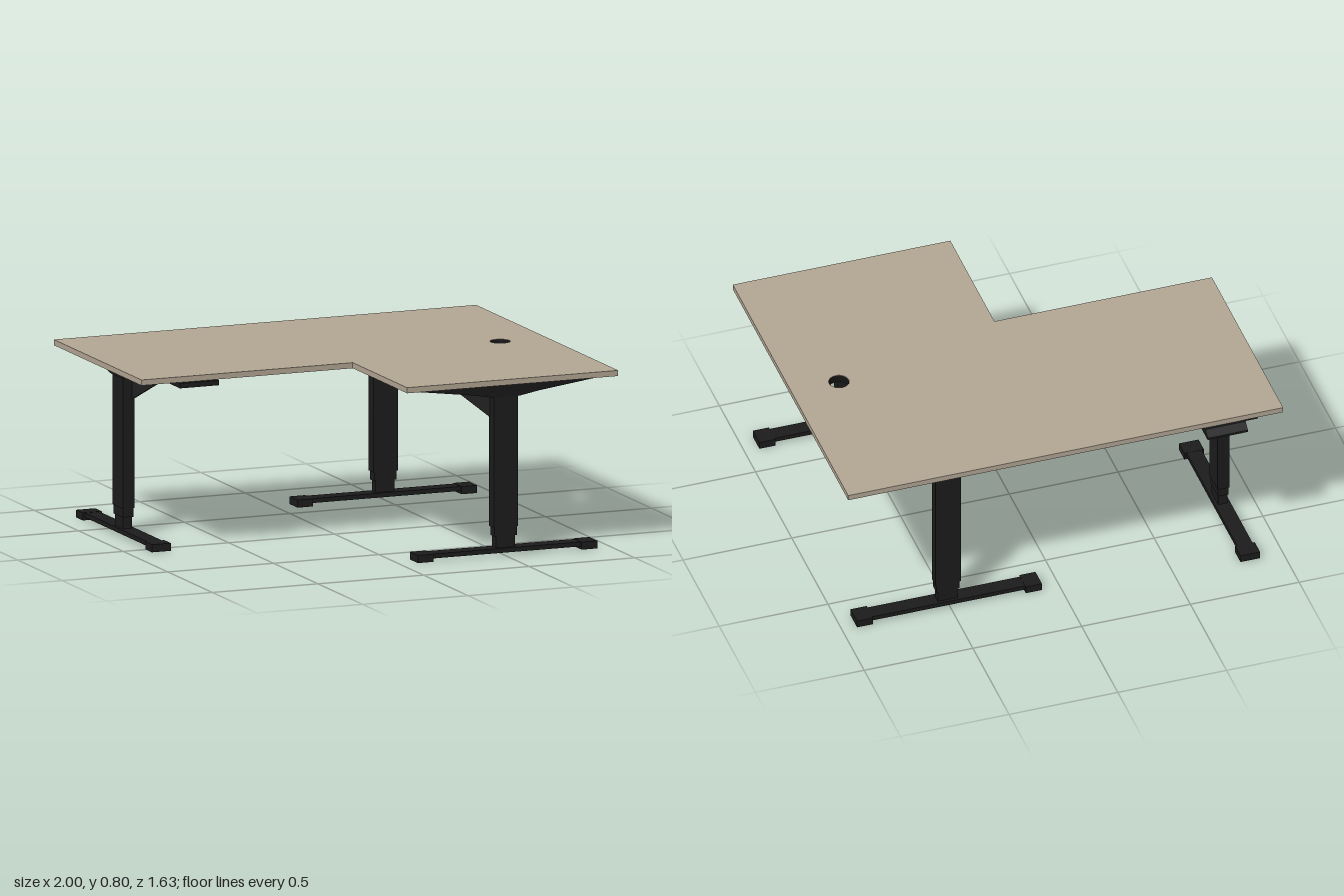
import * as THREE from 'three';

const wood = new THREE.MeshStandardMaterial({ color: 0xb3a694 });
wood.name = 'taupe wood';
const black = new THREE.MeshStandardMaterial({ color: 0x1c1c1d });
black.name = 'black metal';
const liner = new THREE.MeshStandardMaterial({ color: 0x151516, side: THREE.DoubleSide });
liner.name = 'black plastic';

function add(parent, name, geometry, material) {
  const mesh = new THREE.Mesh(geometry, material);
  mesh.name = name;
  parent.add(mesh);
  return mesh;
}

// Box given by its lower and upper corners
function box(parent, name, a, b) {
  const g = new THREE.BoxGeometry(b[0] - a[0], b[1] - a[1], b[2] - a[2]);
  g.translate((a[0] + b[0]) / 2, (a[1] + b[1]) / 2, (a[2] + b[2]) / 2);
  return add(parent, name, g, black);
}

// Side profile in x and y, extruded about z = 0
function profile(points, width) {
  const shape = new THREE.Shape(points.map(p => new THREE.Vector2(p[0], p[1])));
  const g = new THREE.ExtrudeGeometry(shape, { depth: width, bevelEnabled: false });
  return g.translate(0, 0, -width / 2);
}

// Telescopic leg: foot and rail run along local x, the arm turns by armAngle
function makeLeg(name, x, z, turn, armAngle, armLength) {
  const leg = new THREE.Group();
  leg.name = name;
  const stages = [[0.115, 0.055, 0.125, 0.74], [0.105, 0.049, 0.085, 0.125], [0.09, 0.042, 0.03, 0.085]];
  stages.forEach(([w, d, y0, y1], i) =>
    box(leg, 'columnStage' + (i + 1), [-w / 2, y0, -d / 2], [w / 2, y1, d / 2]));

  // Foot bar with a levelling pad at each end
  box(leg, 'footBar', [-0.42, 0.013, -0.035], [0.42, 0.033, 0.035]);
  for (const s of [-1, 1]) {
    const pad = box(leg, 'footPad', [-0.037, 0, -0.045], [0.037, 0.034, 0.045]);
    pad.position.x = s * 0.388;
  }

  // Tapered support rail, narrower at its underside
  const rail = profile([[-0.41, 0.775], [-0.41, 0.758], [-0.15, 0.722], [-0.06, 0.705],
    [0.06, 0.705], [0.15, 0.722], [0.41, 0.758], [0.41, 0.775]], 0.086);
  const p = rail.attributes.position;
  for (let i = 0; i < p.count; i++) {
    p.setZ(i, p.getZ(i) * (1 - 3.5 * (0.775 - p.getY(i))));
  }
  rail.computeVertexNormals();
  add(leg, 'supportRail', rail, black);

  // Angled gusset arm
  const arm = profile([[0, 0.605], [0.045, 0.605], [armLength, 0.758], [armLength, 0.774], [0, 0.774]], 0.06);
  add(leg, 'gussetArm', arm, black).rotation.y = armAngle;

  leg.position.set(x, 0, z);
  leg.rotation.y = turn;
  return leg;
}

export function createModel() {
  const desk = new THREE.Group();
  desk.name = 'cornerDesk';

  // L-shaped top with a cable hole
  const top = new THREE.Shape([[-1, -0.78], [1, -0.78], [1, 0.815], [0, 0.815], [0, 0.205], [-1, 0.205]]
    .map(q => new THREE.Vector2(q[0], q[1])));
  top.holes.push(new THREE.Path().absarc(0.78, 0.01, 0.045, 0, Math.PI * 2, true));
  const topGeometry = new THREE.ExtrudeGeometry(top, { depth: 0.025, bevelEnabled: false, curveSegments: 16 });
  topGeometry.rotateX(Math.PI / 2).translate(0, 0.8, 0);
  add(desk, 'tabletop', topGeometry, wood);

  // Grommet lining the cable hole, with a flange underneath
  const tube = new THREE.CylinderGeometry(0.0435, 0.0435, 0.034, 32, 1, true);
  add(desk, 'grommetSleeve', tube, liner).position.set(0.78, 0.782, 0.01);
  const flange = new THREE.RingGeometry(0.0435, 0.056, 32).rotateX(Math.PI / 2);
  add(desk, 'grommetFlange', flange, liner).position.set(0.78, 0.77, 0.01);

  desk.add(makeLeg('frontLeg', 0.507, 0.697, 0, Math.PI * 0.75, 0.28));
  desk.add(makeLeg('backLeg', 0.507, -0.653, Math.PI, Math.PI / 2, 0.22));
  desk.add(makeLeg('sideLeg', -0.848, -0.357, -Math.PI / 2, Math.PI / 4, 0.28));

  // Control units under the side wing
  box(desk, 'handset', [-0.825, 0.752, -0.01], [-0.64, 0.774, 0.222]);
  const unit = profile([[0.65, 0.774], [0.65, 0.745], [0.69, 0.738], [0.82, 0.738], [0.82, 0.748], [0.79, 0.774]], 0.185);
  const controlBox = add(desk, 'controlBox', unit, black);
  controlBox.rotation.y = Math.PI / 2;
  controlBox.position.x = -0.732;
  return desk;
}
